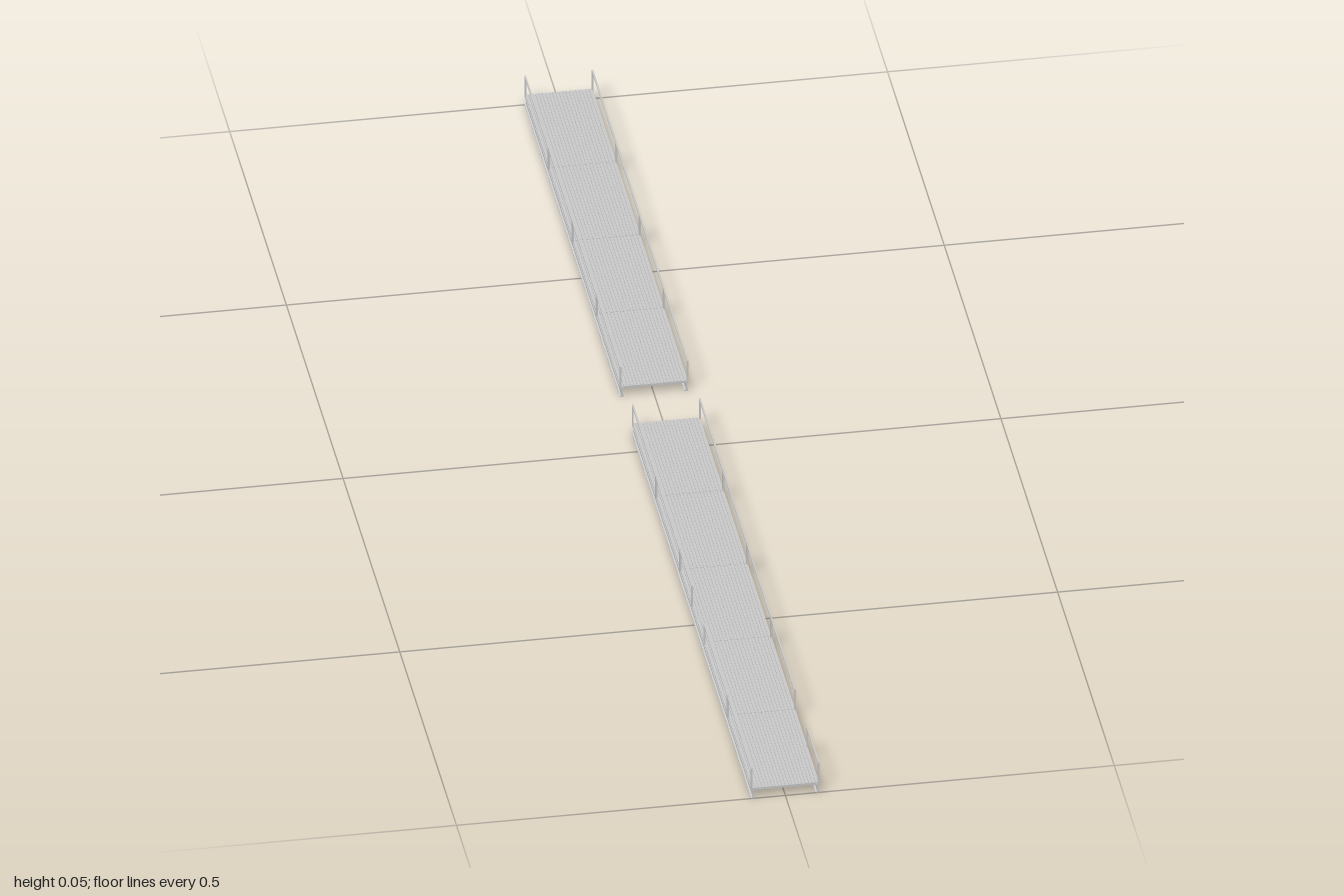
import * as THREE from 'three';

const P = 2 / 9.5;            // length of one walkway panel
const DECK_TOP = 0.018, DECK_H = 0.0025;
const RAIL_TOP = 0.052, RAIL_X = 0.051, BAR = 0.0025;

const mat = new THREE.MeshStandardMaterial({ color: 0xcccccc, flatShading: true });

function box(name, w, h, d, x, y, z) {
  const mesh = new THREE.Mesh(new THREE.BoxGeometry(w, h, d), mat);
  mesh.position.set(x, y, z);
  mesh.name = name;
  return mesh;
}

// I-section beam running along z
function sideBeam(length, x, zMid) {
  const h = DECK_TOP - DECK_H, f = 0.003, w = 0.0007, t = 0.002;
  const half = [[f, 0], [f, t * 0.6], [w, t * 1.3], [w, h - t * 1.3], [f, h - t * 0.6], [f, h]];
  const outline = [...half, ...half.map(([a, b]) => [-a, b]).reverse()];
  const shape = new THREE.Shape(outline.map(([a, b]) => new THREE.Vector2(a, b)));
  const geo = new THREE.ExtrudeGeometry(shape, { depth: length, bevelEnabled: false });
  const mesh = new THREE.Mesh(geo, mat);
  mesh.position.set(x, 0, zMid - length / 2);
  mesh.name = 'sideBeam';
  return mesh;
}

// One deck panel: lengthwise slats on cross members
function deckPanel(zMid) {
  const g = new THREE.Group();
  g.name = 'deckPanel';
  const n = 20, pitch = 0.102 / n, len = P - 0.0008;
  for (let i = 0; i < n; i++) {
    const x = (i - (n - 1) / 2) * pitch;
    g.add(box('deckSlat', pitch - 0.0005, DECK_H, len, x, DECK_TOP - DECK_H / 2, zMid));
  }
  for (const s of [-1, 1]) {
    g.add(box('crossMember', 0.097, 0.002, 0.002, 0, DECK_TOP - DECK_H - 0.001, zMid + s * (P / 2 - 0.002)));
  }
  return g;
}

// Handrail frame: two posts and a top bar between z0 and z1
function handrail(x, z0, z1) {
  const g = new THREE.Group();
  g.name = 'handrail';
  const inset = BAR / 2 + 0.001, base = DECK_TOP - DECK_H;
  for (const z of [z0 + inset, z1 - inset]) {
    g.add(box('railPost', BAR, RAIL_TOP - base, BAR, x, (RAIL_TOP + base) / 2, z));
  }
  g.add(box('topRail', BAR, BAR, z1 - z0 - 0.002, x, RAIL_TOP - BAR / 2, (z0 + z1) / 2));
  return g;
}

// Walkway from zFront backwards; rail lists give spans in panel units from its front
function walkway(name, zFront, panels, leftRails, rightRails) {
  const g = new THREE.Group();
  g.name = name;
  const length = panels * P, zMid = zFront - length / 2;
  for (let i = 0; i < panels; i++) g.add(deckPanel(zFront - (i + 0.5) * P));
  for (const s of [-1, 1]) {
    g.add(sideBeam(length, s * 0.049, zMid));
    for (const [a, b] of s > 0 ? leftRails : rightRails) {
      g.add(handrail(s * RAIL_X, zFront - b * P, zFront - a * P));
    }
  }
  return g;
}

export function createModel() {
  const model = new THREE.Group();
  model.name = 'walkways';
  const full = [[0, 1], [1, 2], [2, 3], [3, 4]];
  // Front walkway has one half-panel access opening on each side
  model.add(walkway('frontWalkway', 1, 5,
    [[0, 0.5], [1, 2], [2, 3], [3, 4], [4, 5]],
    [[0, 1], [1, 2], [2.5, 3], [3, 4], [4, 5]]));
  model.add(walkway('rearWalkway', -1 + 4 * P, 4, full, full));
  return model;
}
